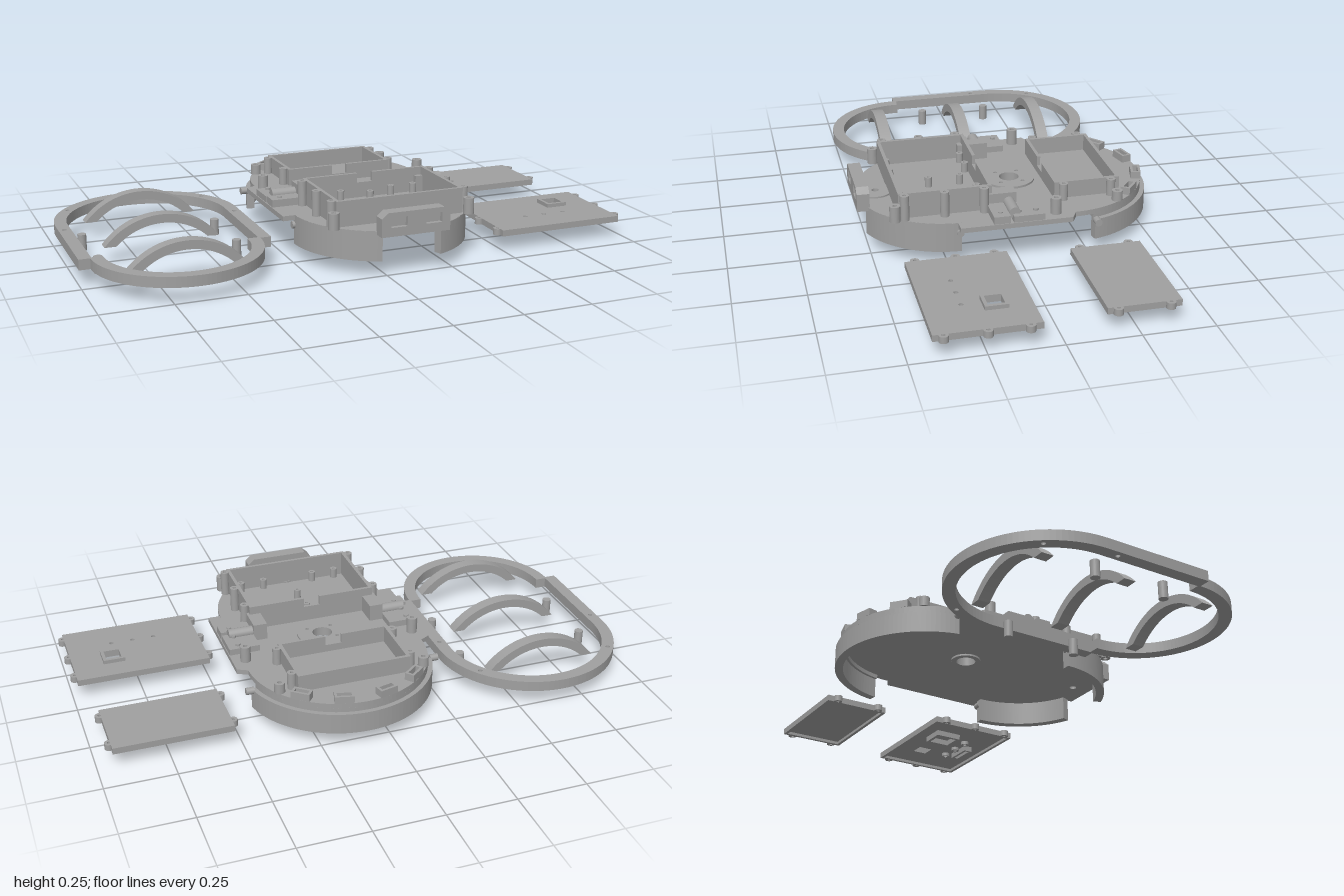
import * as THREE from 'three';

const grey = new THREE.MeshStandardMaterial({ color: 0xa0a0a0 });
grey.name = 'plain grey';

function add(parent, name, geometry, x = 0, y = 0, z = 0) {
  const mesh = new THREE.Mesh(geometry, grey);
  mesh.name = name;
  mesh.position.set(x, y, z);
  parent.add(mesh);
  return mesh;
}

// Box given by its limits
function box(parent, name, x0, x1, y0, y1, z0, z1) {
  return add(parent, name, new THREE.BoxGeometry(x1 - x0, y1 - y0, z1 - z0),
    (x0 + x1) / 2, (y0 + y1) / 2, (z0 + z1) / 2);
}

// Plan outline (x, -z) raised from y0 to y1
function slab(parent, name, shape, y0, y1, x = 0, z = 0) {
  const g = new THREE.ExtrudeGeometry(shape, { depth: y1 - y0, bevelEnabled: false, curveSegments: 28 });
  g.rotateX(-Math.PI / 2);
  return add(parent, name, g, x, y0, z);
}

const hole = (x, z, r) => new THREE.Path().absarc(x, -z, r, 0, Math.PI * 2, true);

function disc(r, inner = 0) {
  const s = new THREE.Shape().absarc(0, 0, r, 0, Math.PI * 2);
  if (inner) s.holes.push(hole(0, 0, inner));
  return s;
}

function rect(T, x0, x1, z0, z1) {
  return new T([[x0, -z1], [x1, -z1], [x1, -z0], [x0, -z0]].map(p => new THREE.Vector2(...p)));
}

function frame(x0, x1, z0, z1, t) {
  const s = rect(THREE.Shape, x0, x1, z0, z1);
  s.holes.push(rect(THREE.Path, x0 + t, x1 - t, z0 + t, z1 - t));
  return s;
}

// Rounded-end outline with a wide straight middle and a narrower front
function oval(T, back, middle, front, zBack, zStep, zFront, zMiddle = zBack) {
  const s = new T();
  s.absarc(0, -zBack, back, 0, Math.PI);
  s.lineTo(-middle, -zMiddle);
  s.lineTo(-middle, -zStep);
  s.lineTo(-front, -zStep);
  s.absarc(0, -zFront, front, Math.PI, Math.PI * 2);
  s.lineTo(front, -zStep);
  s.lineTo(middle, -zStep);
  s.lineTo(middle, -zMiddle);
  s.closePath();
  return s;
}

// Curved wall outline between two angles
function arcWall(r0, r1, a0, a1) {
  const s = new THREE.Shape();
  s.absarc(0, 0, r1, a0, a1, false);
  s.absarc(0, 0, r0, a1, a0, true);
  s.closePath();
  return s;
}

// Open ring with three arched ribs and four loose pegs
function buildRing() {
  const g = new THREE.Group();
  g.name = 'ring';
  g.position.x = -0.66;
  const outline = oval(THREE.Shape, 0.34, 0.34, 0.3, -0.185, 0.217, 0.215);
  outline.holes.push(oval(THREE.Path, 0.295, 0.295, 0.255, -0.185, 0.208, 0.215));
  for (const s of [-1, 1]) {
    outline.holes.push(hole(s * 0.26, -0.37, 0.008), hole(s * 0.317, -0.13, 0.008));
    for (const z of [-0.17, 0.1]) slab(g, 'peg', disc(0.016), 0, 0.06, s * 0.25, z);
  }
  slab(g, 'ringRim', outline, 0.057, 0.095);

  const R = 0.27, r = 0.238, drop = 0.17;
  const a = Math.asin(drop / R), b = Math.asin(drop / r);
  const rib = new THREE.Shape();
  rib.absarc(0, 0, R, a, Math.PI - a, false);
  rib.absarc(0, 0, r, Math.PI - b, b, true);
  rib.closePath();
  const ribGeometry = new THREE.ExtrudeGeometry(rib, { depth: 0.045, bevelEnabled: false, curveSegments: 20 });
  for (const z of [-0.32, 0, 0.323]) add(g, 'archedRib', ribGeometry, 0, 0.16 - R, z - 0.0225);
  return g;
}

// Open-topped tray with posts; notchSide picks the notched wall (+1 front, -1 back)
function buildTray(name, hw, z0, z1, top, postZ, notchSide) {
  const g = new THREE.Group(), t = 0.012, base = 0.163;
  g.name = name;
  for (const s of [-1, 1]) {
    box(g, 'traySideWall', s * (hw - t / 2) - t / 2, s * (hw - t / 2) + t / 2, base, top, z0, z1);
    for (const z of postZ) slab(g, 'trayPost', disc(0.016, 0.006), base, top, s * (hw + 0.012), z);
    const a = s > 0 ? z1 - t : z0, b = s > 0 ? z1 : z0 + t;
    if (s === notchSide) {
      box(g, 'trayNotchSill', -0.03, 0.03, base, top - 0.035, a, b);
      box(g, 'trayEndWall', -hw + t, -0.03, base, top, a, b);
      box(g, 'trayEndWall', 0.03, hw - t, base, top, a, b);
    } else box(g, 'trayEndWall', -hw + t, hw - t, base, top, a, b);
  }
  return g;
}

// Main chassis
function buildBody() {
  const g = new THREE.Group();
  g.name = 'chassis';
  g.position.x = 0.09;
  const plate = oval(THREE.Shape, 0.328, 0.365, 0.32, -0.2, 0.217, 0.205, -0.18);
  plate.holes.push(hole(0, -0.04, 0.036), hole(0, 0.455, 0.013));
  slab(g, 'basePlate', plate, 0.145, 0.163);

  // Skirt walls under the plate
  slab(g, 'backSkirt', arcWall(0.315, 0.345, 0.2, Math.PI - 0.2), 0.055, 0.13, 0, -0.2);
  slab(g, 'backSkirtLip', arcWall(0.305, 0.328, 0.2, Math.PI - 0.2), 0.13, 0.146, 0, -0.2);
  const gap = Math.asin(0.11 / 0.32);
  slab(g, 'frontSkirt', arcWall(0.29, 0.3205, Math.PI, Math.PI * 1.5 - gap), 0.055, 0.162, 0, 0.205);
  slab(g, 'frontSkirt', arcWall(0.29, 0.3205, Math.PI * 1.5 + gap, Math.PI * 2), 0.055, 0.162, 0, 0.205);

  // Raised discs around the holes
  const hub = disc(0.093, 0.036);
  for (const [x, z] of [[-0.045, -0.04], [0.045, -0.04], [-0.045, 0.04], [0.045, 0.04]]) hub.holes.push(hole(x, z, 0.007));
  slab(g, 'hubDisc', hub, 0.163, 0.171, 0, -0.04);
  slab(g, 'hubCollar', disc(0.055, 0.036), 0.138, 0.145, 0, -0.04);
  slab(g, 'frontDisc', disc(0.06, 0.013), 0.163, 0.169, 0, 0.455);

  g.add(buildTray('frontTray', 0.24, 0.08, 0.41, 0.255, [0.11, 0.25, 0.39], -1));
  g.add(buildTray('rearTray', 0.206, -0.395, -0.155, 0.225, [-0.36, -0.185], 1));
  for (const [x, z] of [[0, 0.145], [0, 0.26], [-0.19, 0.105], [-0.1, 0.105], [0.19, 0.105],
    [0.1, 0.105], [-0.19, 0.385], [-0.1, 0.385], [0.1, 0.385], [0.19, 0.385]])
    slab(g, 'standoff', disc(0.013, 0.005), 0.163, 0.2, x, z);

  for (const s of [-1, 1]) {
    // Hinge mounts on both sides
    const side = (name, a, b, ...rest) => box(g, name, Math.min(s * a, s * b), Math.max(s * a, s * b), ...rest);
    side('hingeBase', 0.25, 0.362, 0.163, 0.186, -0.08, 0.03);
    side('hingeUpright', 0.2, 0.25, 0.163, 0.225, -0.005, 0.11);
    side('hingeBlock', 0.25, 0.362, 0.163, 0.19, 0.042, 0.1);
    add(g, 'hingePin', new THREE.CylinderGeometry(0.02, 0.02, 0.1, 20).rotateZ(Math.PI / 2), s * 0.29, 0.19, 0.022);
    for (const z of [-0.055, 0.005, 0.07]) slab(g, 'hingeScrew', disc(0.009), 0.18, 0.194, s * 0.325, z);
    // Mounting posts
    slab(g, 'mountPost', disc(0.019, 0.008), 0.163, 0.222, s * 0.318, -0.13);
    slab(g, 'mountPost', disc(0.019, 0.008), 0.163, 0.2, s * 0.265, -0.37);
    slab(g, 'mountPost', disc(0.019, 0.008), 0.163, 0.222, s * 0.257, 0.425);
    // Small pins at the skirt ends
    for (const [x, z] of [[0.345, -0.275], [0.315, 0.21]])
      add(g, 'sidePin', new THREE.CylinderGeometry(0.013, 0.013, 0.03, 16).rotateZ(Math.PI / 2), s * x, 0.126, z);
    // Angled sensor frames on the rear rim
    for (const [x, z, turn] of [[0.077, -0.5, 0.25], [0.205, -0.432, 0.68]])
      slab(g, 'sensorFrame', frame(-0.034, 0.034, -0.018, 0.018, 0.009), 0.163, 0.19, s * x, z).rotation.y = -s * turn;
  }

  // Front switch bracket with two openings
  const bracket = new THREE.Shape([[-0.128, 0.15], [0.128, 0.15], [0.128, 0.215], [0.105, 0.235], [-0.105, 0.235], [-0.128, 0.215]]
    .map(p => new THREE.Vector2(...p)));
  for (const x of [-0.063, 0.067]) bracket.holes.push(rect(THREE.Path, x - 0.03, x + 0.03, -0.217, -0.182));
  add(g, 'switchBracket', new THREE.ExtrudeGeometry(bracket, { depth: 0.045, bevelEnabled: false }), 0, 0, 0.493);
  for (const x of [-0.063, 0.067]) box(g, 'switchFace', x - 0.03, x + 0.03, 0.182, 0.217, 0.5, 0.522);
  return g;
}

// Loose tray cover: top sheet, rim below and side tabs
function buildCover(name, x0, x1, z0, z1, tabZ, cutouts) {
  const g = new THREE.Group();
  g.name = name;
  const sheet = rect(THREE.Shape, x0, x1, z0, z1);
  sheet.holes.push(...cutouts);
  slab(g, 'coverSheet', sheet, 0.068, 0.08);
  slab(g, 'coverRim', frame(x0, x1, z0, z1, 0.012), 0.057, 0.068);
  for (const x of [x0 - 0.004, x1 + 0.004])
    for (const z of tabZ) slab(g, 'coverTab', disc(0.016, 0.006), 0.057, 0.08, x, z);
  return g;
}

export function createModel() {
  const model = new THREE.Group();
  model.name = 'chassisKit';
  model.add(buildRing(), buildBody());
  model.add(buildCover('rearCover', 0.525, 0.945, -0.4, -0.15, [-0.36, -0.185], []));

  const front = buildCover('frontCover', 0.493, 0.98, 0.067, 0.42, [0.11, 0.245, 0.385],
    [rect(THREE.Path, 0.802, 0.858, 0.162, 0.218), ...[0.655, 0.735, 0.815].map(x => hole(x, 0.295, 0.008))]);
  slab(front, 'squareFrame', frame(0.79, 0.87, 0.15, 0.23, 0.012), 0.08, 0.094);
  // Fittings on the underside
  slab(front, 'undersideSquare', frame(0.595, 0.69, 0.13, 0.235, 0.012), 0.047, 0.068);
  slab(front, 'undersideSlot', frame(0.69, 0.8, 0.315, 0.35, 0.01), 0.047, 0.068);
  for (const x of [0.655, 0.735, 0.815]) slab(front, 'undersideBoss', disc(0.016, 0.008), 0.055, 0.068, x, 0.295);
  model.add(front);
  return model;
}
